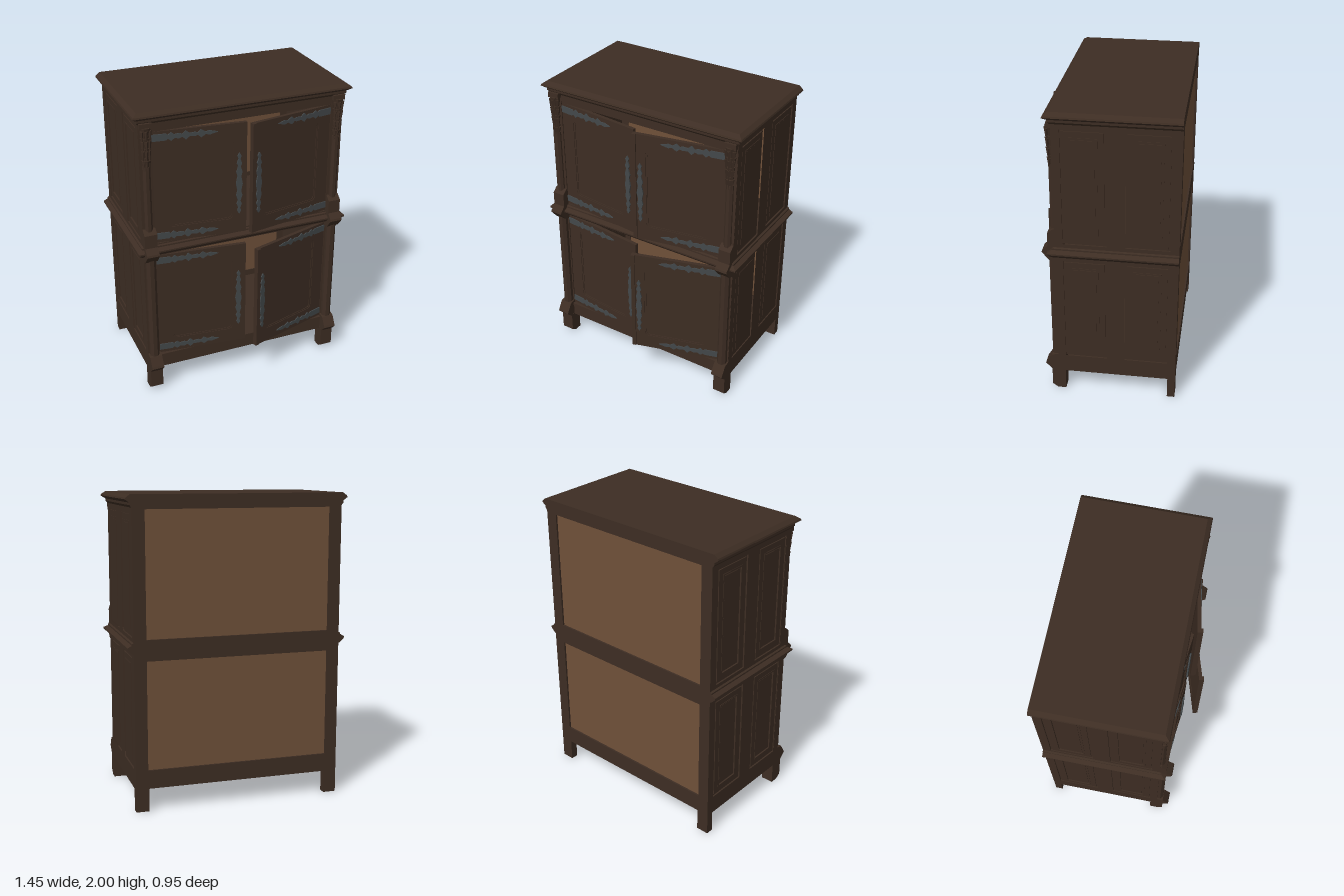
import * as THREE from 'three';

const wood = new THREE.MeshStandardMaterial({ color: 0x3d2d23 });
wood.name = 'dark oak';
const backing = new THREE.MeshStandardMaterial({ color: 0x6f5039 });
backing.name = 'pale backing board';
const iron = new THREE.MeshStandardMaterial({ color: 0x43484a });
iron.name = 'wrought iron';

function add(parent, name, geo, mat = wood, x = 0, y = 0, z = 0) {
  const m = new THREE.Mesh(geo, mat);
  m.name = name;
  m.position.set(x, y, z);
  parent.add(m);
  return m;
}
// Box from its limits
function box(parent, name, x0, x1, y0, y1, z0, z1, mat = wood) {
  return add(parent, name, new THREE.BoxGeometry(Math.abs(x1 - x0), y1 - y0, z1 - z0), mat,
    (x0 + x1) / 2, (y0 + y1) / 2, (z0 + z1) / 2);
}
const poly = (pts) => pts.map((p) => new THREE.Vector2(p[0], p[1]));
// Rectangle with optional rounded corners, as points
function rect(x0, y0, x1, y1, r = 0) {
  if (x0 > x1) [x0, x1] = [x1, x0];
  if (!r) return [[x0, y0], [x1, y0], [x1, y1], [x0, y1]];
  const pts = [];
  [[x1 - r, y0 + r, -1], [x1 - r, y1 - r, 0], [x0 + r, y1 - r, 1], [x0 + r, y0 + r, 2]].forEach(([cx, cy, q]) => {
    for (let i = 0; i <= 4; i++) {
      const a = (q + i / 4) * Math.PI / 2;
      pts.push([cx + r * Math.cos(a), cy + r * Math.sin(a)]);
    }
  });
  return pts;
}
function slab(pts, holes, depth) {
  const s = new THREE.Shape(poly(pts));
  holes.forEach((h) => s.holes.push(new THREE.Path(poly(h))));
  return new THREE.ExtrudeGeometry(s, { depth, bevelEnabled: false });
}
function faceted(geo) {
  const g = geo.toNonIndexed();
  g.computeVertexNormals();
  return g;
}

// Moulding swept round the left, front and right sides; profile is [outward, y] from bottom to top
function moulding(profile, w, front, back) {
  const rings = profile.map(([o, y]) => [[-w - o, y, back], [-w - o, y, front + o], [w + o, y, front + o], [w + o, y, back]]);
  const v = [];
  const quad = (a, b, c, d) => v.push(...a, ...b, ...c, ...a, ...c, ...d);
  for (let i = 0; i < rings.length - 1; i++) {
    for (let j = 0; j < 3; j++) quad(rings[i][j], rings[i][j + 1], rings[i + 1][j + 1], rings[i + 1][j]);
    quad(rings[i][3], rings[i][0], rings[i + 1][0], rings[i + 1][3]);
  }
  const g = new THREE.BufferGeometry();
  g.setAttribute('position', new THREE.Float32BufferAttribute(v, 3));
  g.computeVertexNormals();
  return g;
}

// Profile in [z, y] extruded outward along x on side s
function sidePlate(parent, name, s, pts, holes, x0, depth, mat = wood) {
  const flip = (list) => list.map(([z, y]) => [-s * z, y]);
  const m = add(parent, name, slab(flip(pts), holes.map(flip), depth), mat, s * x0);
  m.rotation.y = s * Math.PI / 2;
  return m;
}

// Half outline of a pierced strap hinge: [along, half height]
const STRAP = [[0, 0.022], [0.09, 0.022], [0.1, 0.012], [0.12, 0.028], [0.14, 0.012], [0.17, 0.017], [0.19, 0.009],
  [0.21, 0.03], [0.235, 0.01], [0.27, 0.014], [0.285, 0.007], [0.305, 0.026], [0.335, 0.008], [0.36, 0.014], [0.41, 0.001]];
// Half outline of the tall lock plates
const LOCK = [[-0.21, 0.002], [-0.19, 0.013], [-0.17, 0.006], [-0.14, 0.017], [-0.12, 0.008], [-0.08, 0.02], [-0.05, 0.012],
  [0, 0.022], [0.05, 0.012], [0.08, 0.02], [0.12, 0.008], [0.14, 0.017], [0.17, 0.006], [0.19, 0.013], [0.21, 0.002]];
const mirrored = (half) => [...half, ...half.slice().reverse().map(([a, b]) => [a, -b])];

// Door hinged at its outer edge; s = +1 extends towards +x
function door(parent, name, s, y0, y1, angle) {
  const g = new THREE.Group();
  g.name = name;
  const W = 0.603, T = 0.024, h = y1 - y0;
  const hole = rect(s * 0.095, 0.1, s * 0.515, h - 0.1, 0.03);
  const inner = rect(s * 0.105, 0.11, s * 0.505, h - 0.11, 0.025);
  add(g, 'doorFrame', slab(rect(0, 0, s * W, h), [hole], T), wood, 0, 0, -T);
  add(g, 'doorBead', slab(hole, [inner], 0.016), wood, 0, 0, -0.02);
  add(g, 'doorPanel', slab(inner, [], 0.012), wood, 0, 0, -0.02);
  for (const y of [0.045, h - 0.04])
    add(g, 'strapHinge', slab(mirrored(STRAP).map(([a, b]) => [s * a, b]), [], 0.006), iron, s * 0.005, y, 0);
  add(g, 'lockPlate', slab(mirrored(LOCK).map(([a, b]) => [b, a]), [], 0.009), iron, s * (W - 0.05), h * 0.46, 0);
  // Cover strip on the meeting edge
  if (s < 0) box(g, 'coverStrip', s * (W - 0.025), s * W, 0.005, h, 0, 0.01);
  g.position.set(-s * 0.605, y0, 0.295);
  g.rotation.y = -s * angle * Math.PI / 180;
  parent.add(g);
}

export function createModel() {
  const root = new THREE.Group();
  root.name = 'cupboard';
  const BACK = -0.475;

  // Cornice, waist moulding and top board
  box(root, 'topBoard', -0.685, 0.685, 1.93, 2, BACK, 0.305);
  add(root, 'cornice', moulding([[0, 1.92], [0.012, 1.935], [0.012, 1.95], [0.02, 1.955], [0.04, 1.97], [0.036, 1.98], [0.01, 2], [0, 2]],
    0.685, 0.305, BACK));
  box(root, 'middleBoard', -0.68, 0.68, 1.03, 1.08, BACK, 0.3);
  add(root, 'waistMoulding', moulding([[0, 1.02], [0.015, 1.03], [0.04, 1.055], [0.04, 1.065], [0.012, 1.08], [0.012, 1.09], [0, 1.095]],
    0.685, 0.305, BACK));

  // Front rails and floor
  box(root, 'topRail', -0.605, 0.605, 1.862, 1.93, 0.26, 0.3);
  box(root, 'middleRail', -0.605, 0.605, 1.012, 1.1, 0.26, 0.3);
  box(root, 'apron', -0.605, 0.605, 0.15, 0.235, 0.27, 0.31);
  box(root, 'apronSill', -0.605, 0.605, 0.235, 0.252, 0.26, 0.318);
  box(root, 'floorBoard', -0.66, 0.66, 0.2, 0.225, BACK + 0.02, 0.28);

  // Back frame with pale boards
  const openings = [rect(-0.605, 0.27, 0.605, 0.975), rect(-0.605, 1.11, 0.605, 1.91)];
  add(root, 'backFrame', slab(rect(-0.68, 0.15, 0.68, 1.95), openings, 0.03), wood, 0, 0, BACK);
  for (const [y0, y1] of [[0.25, 1], [1.09, 1.93]])
    box(root, 'backBoard', -0.63, 0.63, y0, y1, BACK + 0.012, BACK + 0.024, backing);

  for (const s of [-1, 1]) {
    // Panelled side
    const wells = [];
    for (const [y0, y1] of [[0.27, 1], [1.12, 1.89]])
      for (const [z0, z1] of [[-0.025, 0.255], [-0.42, -0.14]]) wells.push([z0, y0, z1, y1]);
    sidePlate(root, 'sideFrame', s, rect(BACK, 0.145, 0.3, 1.95), wells.map((w) => rect(...w)), 0.655, 0.03);
    for (const [z0, y0, z1, y1] of wells) {
      const inset = (d) => rect(z0 + d, y0 + d, z1 - d, y1 - d);
      sidePlate(root, 'sidePanel', s, inset(0), [], 0.655, 0.02);
      sidePlate(root, 'sidePanelBorder', s, inset(0.012), [inset(0.05)], 0.675, 0.007);
      sidePlate(root, 'sidePanelBead', s, inset(0.05), [inset(0.06)], 0.675, 0.01);
      sidePlate(root, 'sidePanelField', s, inset(0.068), [], 0.675, 0.004);
    }

    // Legs
    box(root, 'backLeg', s * 0.6, s * 0.685, 0, 0.16, BACK, -0.425);
    sidePlate(root, 'frontLeg', s, [[0.255, 0], [0.31, 0], [0.345, 0.025], [0.345, 0.16], [0.255, 0.16]], [], 0.6, 0.085);

    // Front corner posts with beaked blocks at foot and waist
    const px = s * 0.643;
    box(root, 'cornerPost', s * 0.602, s * 0.684, 0.15, 1.93, 0.25, 0.302);
    sidePlate(root, 'footBeak', s, [[0.29, 0.145], [0.345, 0.15], [0.387, 0.195], [0.38, 0.21], [0.345, 0.265], [0.29, 0.275]], [], 0.602, 0.083);
    sidePlate(root, 'waistBeak', s, [[0.29, 0.985], [0.335, 0.995], [0.385, 1.055], [0.38, 1.068], [0.345, 1.1], [0.345, 1.19], [0.31, 1.22], [0.29, 1.22]],
      [], 0.602, 0.083);
    const shaft = (y0, y1, r, z) => {
      const g = new THREE.CylinderGeometry(r, r, y1 - y0, 8);
      g.rotateY(Math.PI / 8);
      add(root, 'postShaft', faceted(g), wood, px, (y0 + y1) / 2, z);
    };
    shaft(0.25, 1.02, 0.034, 0.311);
    shaft(1.2, 1.65, 0.026, 0.303);

    // Carved tapering drop with overlapping leaves
    for (let i = 0; i < 4; i++) {
      const r = 0.04 - i * 0.005, y = 1.86 - i * 0.065;
      const cup = new THREE.CylinderGeometry(r, r * 0.55, 0.085, 8);
      cup.rotateY(Math.PI / 8);
      add(root, 'carvedCup', faceted(cup), wood, px, y, 0.304);
      for (const k of [-1, 0, 1]) {
        const leaf = new THREE.ConeGeometry(0.013, 0.09, 4);
        leaf.rotateX(Math.PI);
        add(root, 'carvedLeaf', faceted(leaf), wood, px + k * r * 0.65, y - 0.02, 0.304 + r * (k ? 0.55 : 0.8));
      }
    }
    const tip = new THREE.ConeGeometry(0.03, 0.12, 8);
    tip.rotateX(Math.PI);
    add(root, 'carvedTip', faceted(tip), wood, px, 1.63, 0.306);
    box(root, 'postCapital', s * 0.604, s * 0.683, 1.895, 1.93, 0.29, 0.33);
  }

  // Four doors standing ajar
  door(root, 'upperRightDoor', 1, 1.105, 1.86, 6.5);
  door(root, 'upperLeftDoor', -1, 1.105, 1.86, 10.5);
  door(root, 'lowerRightDoor', 1, 0.256, 1.01, 6.5);
  door(root, 'lowerLeftDoor', -1, 0.256, 1.01, 16.7);
  return root;
}
